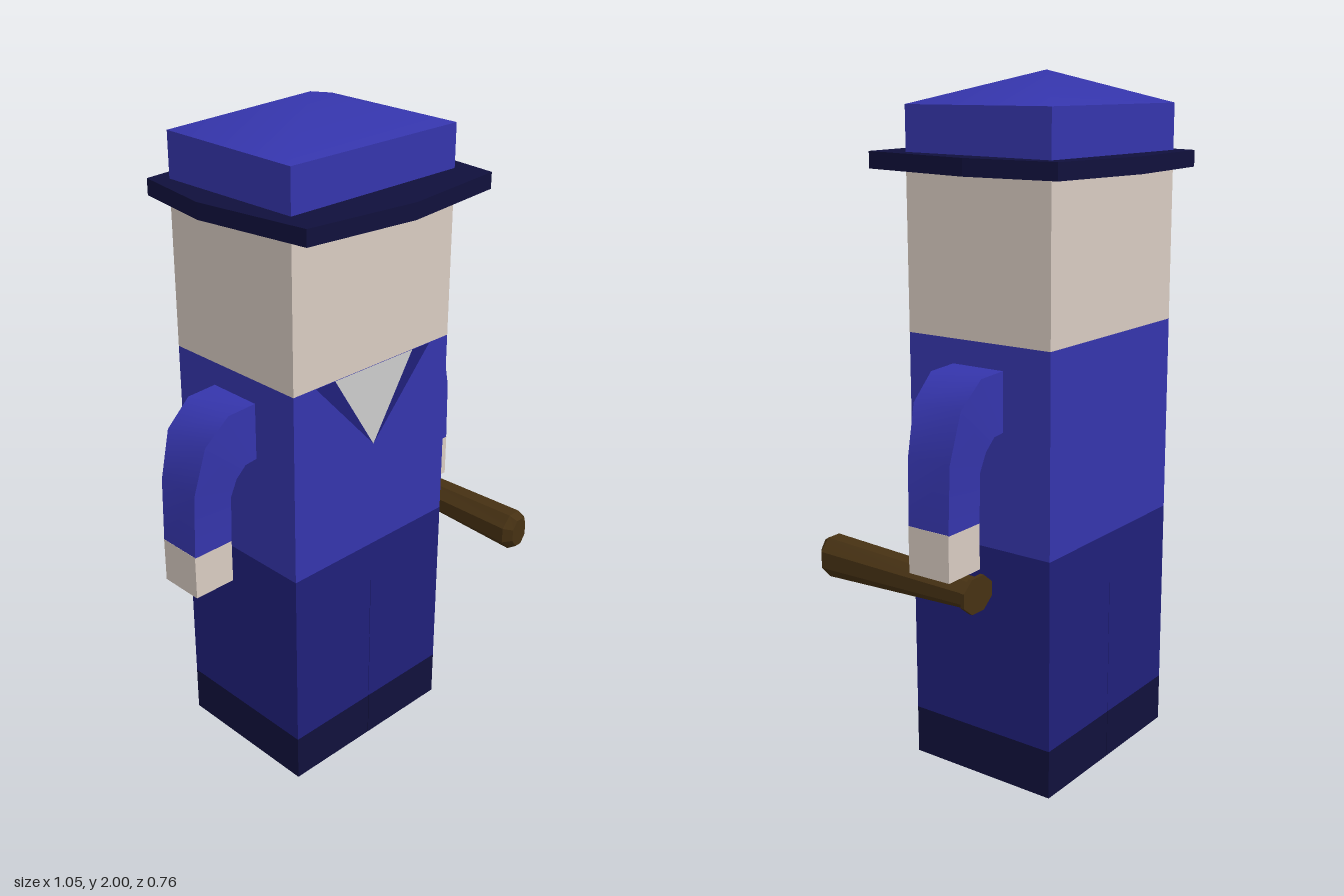
import * as THREE from 'three';
import { toCreasedNormals } from 'three/addons/utils/BufferGeometryUtils.js';

const mat = (color) => new THREE.MeshStandardMaterial({ color });
const BLUE = mat(0x3535ac), PANTS = mat(0x1f1f7a), NAVY = mat(0x10103c);
const SKIN = mat(0xd8cbc1), SHIRT = mat(0xcccccc), WOOD = mat(0x463113);

const CZ = -0.058; // depth centre of the body
const W = 0.61, D = 0.48;

function add(parent, name, geometry, material) {
  const mesh = new THREE.Mesh(geometry, material);
  mesh.name = name;
  parent.add(mesh);
  return mesh;
}

// Box given by its centre x, width, depth and its bottom and top heights
function block(parent, name, material, x, w, d, y0, y1) {
  const mesh = add(parent, name, new THREE.BoxGeometry(w, y1 - y0, d), material);
  mesh.position.set(x, (y0 + y1) / 2, CZ);
  return mesh;
}

// Closed skin through rings of [x, y, z] points, counter-clockwise about the travel direction
function loft(rings, crease) {
  const n = rings[0].length, last = (rings.length - 1) * n, index = [];
  for (let i = 0; i < rings.length - 1; i++) {
    for (let j = 0; j < n; j++) {
      const a = i * n + j, b = i * n + (j + 1) % n;
      index.push(a, b, b + n, a, b + n, a + n);
    }
  }
  for (let j = 1; j < n - 1; j++) {
    index.push(0, j + 1, j, last, last + j, last + j + 1);
  }
  const g = new THREE.BufferGeometry();
  g.setAttribute('position', new THREE.Float32BufferAttribute(rings.flat(2), 3));
  g.setIndex(index);
  return toCreasedNormals(g, crease);
}

function flatShape(points) {
  return new THREE.ShapeGeometry(new THREE.Shape(points.map(([x, y]) => new THREE.Vector2(x, y))));
}

// Bent sleeve with a square hand; side is +1 for left, -1 for right
function arm(side) {
  const group = new THREE.Group();
  group.name = side > 0 ? 'leftArm' : 'rightArm';
  // outer x, outer y, inner x, inner y, half depth
  const sections = [
    [0.3, 1.22, 0.3, 1.05, 0.085],
    [0.4, 1.215, 0.345, 1.045, 0.085],
    [0.48, 1.145, 0.375, 1.01, 0.08],
    [0.518, 1.005, 0.39, 0.955, 0.071],
    [0.525, 0.812, 0.392, 0.812, 0.069],
  ];
  const rings = sections.map(([ox, oy, ix, iy, h]) => {
    const ring = [
      [side * ox, oy, CZ + h], [side * ix, iy, CZ + h],
      [side * ix, iy, CZ - h], [side * ox, oy, CZ - h],
    ];
    return side > 0 ? ring : ring.reverse();
  });
  add(group, 'sleeve', loft(rings, 0.75), BLUE);
  block(group, 'hand', SKIN, side * 0.459, 0.133, 0.138, 0.68, 0.814);
  return group;
}

export function createModel() {
  const model = new THREE.Group();
  model.name = 'blockFigure';

  // Legs and shoes, split by a hairline gap
  for (const side of [1, -1]) {
    const w = W / 2 - 0.001, x = side * (W / 4 + 0.0005);
    const prefix = side > 0 ? 'left' : 'right';
    block(model, prefix + 'Shoe', NAVY, x, w, D, 0, 0.145);
    block(model, prefix + 'Leg', PANTS, x, w, D, 0.145, 0.58);
  }
  block(model, 'hips', PANTS, 0, W, D, 0.58, 0.71);
  block(model, 'torso', BLUE, 0, W, D, 0.71, 1.29);
  block(model, 'head', SKIN, 0, W, D, 1.29, 1.74);

  // Open collar with the shirt showing in the V
  const front = CZ + D / 2 + 0.002;
  for (const side of [1, -1]) {
    const pts = [[0, 1.045], [side * 0.225, 1.29], [side * 0.153, 1.29]];
    add(model, 'lapel', flatShape(pts), PANTS).position.z = front;
  }
  add(model, 'shirt', flatShape([[0, 1.045], [0.153, 1.29], [-0.153, 1.29]]), SHIRT).position.z = front;

  model.add(arm(1), arm(-1));

  // Cap: eight-cornered brim, straight band and a low peaked crown
  const cap = new THREE.Group();
  cap.name = 'cap';
  model.add(cap);
  const brimOutline = [
    [0.39, -0.08], [0.345, 0.28], [0, 0.322], [-0.345, 0.28],
    [-0.39, -0.08], [-0.345, -0.345], [0, -0.38], [0.345, -0.345],
  ];
  const brimRing = (y) => brimOutline.map(([x, z]) => [x, y + z * 0.012, z]).reverse();
  add(cap, 'brim', loft([brimRing(1.735), brimRing(1.782)], 0.1), NAVY);
  block(cap, 'band', BLUE, 0, W, D, 1.74, 1.91);
  const crown = new THREE.BufferGeometry();
  const w = W / 2, d = D / 2;
  crown.setAttribute('position', new THREE.Float32BufferAttribute(
    [-w, 0, d, w, 0, d, w, 0, -d, -w, 0, -d, 0, 0.09, -0.01], 3));
  crown.setIndex([0, 1, 4, 1, 2, 4, 2, 3, 4, 3, 0, 4]);
  crown.computeVertexNormals();
  add(cap, 'crown', crown, BLUE).position.set(0, 1.91, CZ);

  // Baton under the left hand, thicker towards the front: z, half width, half height
  const batonSections = [
    [-0.172, 0.061, 0.05], [-0.16, 0.061, 0.05], [-0.155, 0.05, 0.039],
    [0.355, 0.053, 0.059], [0.378, 0.03, 0.045],
  ];
  const batonRings = batonSections.map(([z, rx, ry]) =>
    Array.from({ length: 8 }, (_, k) => {
      const a = (k + 0.5) * Math.PI / 4, s = 1 / Math.cos(Math.PI / 8);
      return [0.459 + rx * s * Math.cos(a), 0.638 + ry * s * Math.sin(a), z];
    }));
  add(model, 'baton', loft(batonRings, 0.3), WOOD);

  return model;
}
